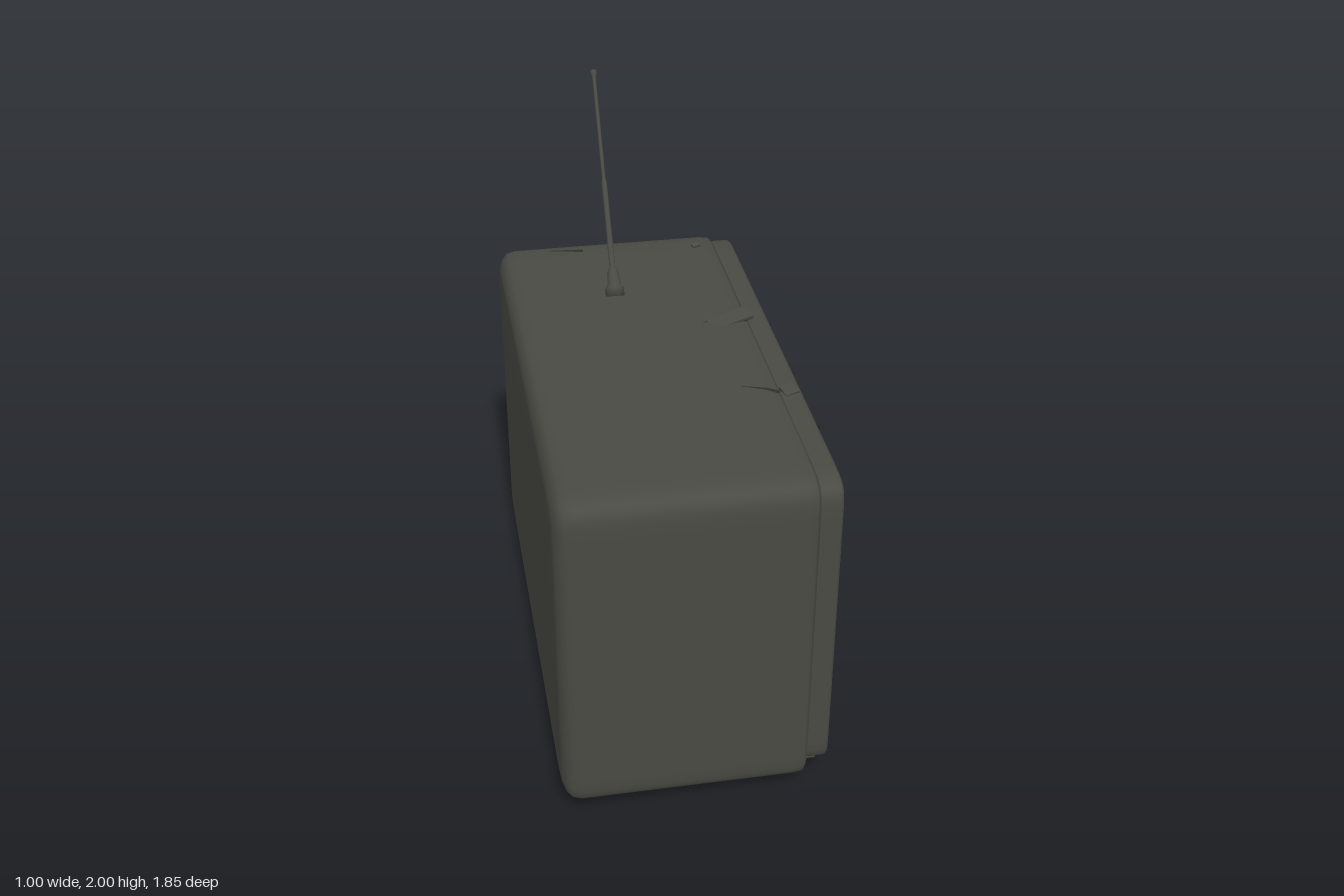
import * as THREE from 'three';

const casing = new THREE.MeshStandardMaterial({ color: 0x4a4a44 });
casing.name = 'dark olive grey';
const crackMat = new THREE.MeshStandardMaterial({ color: 0x30302c, side: THREE.DoubleSide });
crackMat.name = 'crack shadow';

// Superellipse outline: [u, y] pairs, where u runs towards -z
function outline(cz, cy, hw, hh, e, n = 80) {
  const f = (v) => (Math.abs(v) < 1e-9 ? 0 : Math.sign(v) * Math.abs(v) ** (2 / e));
  return Array.from({ length: n }, (_, i) => {
    const t = (i / n) * Math.PI * 2;
    return [-cz + hw * f(Math.cos(t)), cy + hh * f(Math.sin(t))];
  });
}

// Skin a list of rings; xOf gives each ring point its depth
function loft(rings) {
  const pos = [], idx = [], n = rings[0].pts.length;
  for (const { pts, x } of rings)
    for (const [u, y] of pts) pos.push(typeof x === 'function' ? x(-u, y) : x, y, -u);
  for (let i = 0; i < rings.length - 1; i++)
    for (let j = 0; j < n; j++) {
      const k = (j + 1) % n, a = i * n + j, b = i * n + k, c = b + n, d = a + n;
      idx.push(a, b, c, a, c, d);
    }
  const g = new THREE.BufferGeometry();
  g.setAttribute('position', new THREE.Float32BufferAttribute(pos, 3));
  g.setIndex(idx);
  g.computeVertexNormals();
  return g;
}

// Bulging picture tube surface
const SZ = 0.19, SY = 0.7, SW = 0.61, SH = 0.475;
const domeX = (z, y) =>
  Math.max(0.362, 0.457 - 0.06 * (((z - SZ) / SW) ** 2 + ((y - SY) / SH) ** 2));

// Jagged tapering crack laid on a surface
function crackGeometry(path, place, width) {
  const pos = [], idx = [];
  path.forEach(([a, b], i) => {
    const p = path[Math.max(0, i - 1)], q = path[Math.min(path.length - 1, i + 1)];
    const dx = q[0] - p[0], dy = q[1] - p[1], l = Math.hypot(dx, dy);
    const w = width * (1 - (0.85 * i) / (path.length - 1)) / 2;
    for (const s of [1, -1]) pos.push(...place(a - (s * w * dy) / l, b + (s * w * dx) / l));
    if (i) idx.push(2 * i - 2, 2 * i - 1, 2 * i, 2 * i - 1, 2 * i + 1, 2 * i);
  });
  const g = new THREE.BufferGeometry();
  g.setAttribute('position', new THREE.Float32BufferAttribute(pos, 3));
  g.setIndex(idx);
  g.computeVertexNormals();
  return g;
}

export function createModel() {
  const root = new THREE.Group();
  root.name = 'television';
  const add = (name, geo, x = 0, y = 0, z = 0, mat = casing) => {
    const m = new THREE.Mesh(geo, mat);
    m.name = name;
    m.position.set(x, y, z);
    root.add(m);
    return m;
  };
  const box = (name, w, h, d, x, y, z) => add(name, new THREE.BoxGeometry(w, h, d), x, y, z);

  // Cabinet with rounded back edges and slightly bowed sides
  const profile = [[-0.495, 0.9], [-0.495, 0.45], [-0.495, 0.07], [-0.491, 0.045], [-0.478, 0.02],
    [-0.46, 0.006], [-0.43, 0], [0.3, 0], [0.335, 0.003], [0.348, 0.015], [0.35, 0.04], [0.35, 0.9]];
  add('cabinet', loft(profile.map(([x, d]) => ({
    x, pts: outline(0, 0.685, Math.max(0.001, 0.925 - d), Math.max(0.001, 0.615 - d), 22),
  }))));

  // Front bezel with openings for the screen and the tuner
  const v2 = (pts) => pts.map(([u, y]) => new THREE.Vector2(u, y));
  const face = new THREE.Shape(v2(outline(0, 0.705, 0.91, 0.58, 22)));
  face.holes.push(new THREE.Path(v2(outline(0.19, 0.695, 0.65, 0.51, 10))));
  face.holes.push(new THREE.Path(v2(outline(-0.69, 1.005, 0.125, 0.17, 20, 40))));
  const bezel = new THREE.ExtrudeGeometry(face, {
    depth: 0.06, bevelThickness: 0.018, bevelSize: 0.018, bevelOffset: -0.018, bevelSegments: 3,
  });
  bezel.rotateY(Math.PI / 2);
  add('bezel', bezel, 0.347);

  // Sloping surround and domed screen
  add('screenSurround', loft([
    { x: 0.412, pts: outline(0.19, 0.695, 0.655, 0.515, 10) },
    { x: 0.392, pts: outline(0.19, 0.697, 0.635, 0.497, 7) },
    { x: (z, y) => domeX(z, y) - 0.004, pts: outline(SZ, SY, SW, SH, 5) },
  ]));
  add('screen', loft([1, 0.96, 0.88, 0.75, 0.6, 0.45, 0.3, 0.15, 0.001].map((s) => ({
    x: domeX, pts: outline(SZ, SY, SW * s, SH * s, 5),
  }))));

  // Tuner panel with dial, pointer and ledge
  box('tunerPanel', 0.04, 0.36, 0.27, 0.378, 1.005, -0.69);
  const knob = (name, r0, r1, len, x, y, z) => {
    const g = new THREE.CylinderGeometry(r1, r0, len, 28);
    g.rotateZ(-Math.PI / 2);
    return add(name, g, x + len / 2, y, z);
  };
  knob('tunerDial', 0.1, 0.085, 0.035, 0.395, 1.06, -0.69);
  knob('dialHub', 0.04, 0.025, 0.022, 0.428, 1.06, -0.69);
  box('dialPointer', 0.02, 0.05, 0.015, 0.442, 1.065, -0.69).rotation.x = 0.4;
  box('tunerLedge', 0.035, 0.065, 0.24, 0.405, 0.87, -0.69);

  // Control knobs
  knob('brokenKnob', 0.028, 0.02, 0.02, 0.42, 0.76, -0.7);
  knob('volumeShaft', 0.02, 0.018, 0.05, 0.42, 0.235, -0.66);
  knob('volumeKnob', 0.028, 0.024, 0.04, 0.46, 0.235, -0.665).rotation.y = 0.2;

  // Speaker grille slats
  for (let i = 0; i < 15; i++) {
    const y = 0.24 + i * 0.035;
    if (i === 0) box('grilleSlat', 0.02, 0.018, 0.13, 0.424, y, -0.8);
    else box('grilleSlat', 0.02, 0.018, 0.355, 0.424, y, -0.68);
  }

  // Lower front rail under the bezel
  box('lowerRail', 0.05, 0.03, 1.7, 0.37, 0.118, 0);

  // Tapered feet
  for (const x of [-0.31, 0.24])
    for (const z of [-0.715, 0.72]) {
      const foot = add('foot', new THREE.CylinderGeometry(0.1, 0.08, 0.1, 24), x, 0.05, z);
      foot.scale.x = 1.15;
    }

  // Round swivel base underneath
  const base = [[0, 0], [0.19, 0], [0.205, 0.008], [0.23, 0.05], [0.25, 0.062], [0.27, 0.09]];
  add('swivelBase', new THREE.LatheGeometry(base.map(([r, y]) => new THREE.Vector2(r, y)), 40), -0.02, 0, 0.03);

  // Leaning aerial: socket, rod and tip along one axis
  const aerial = new THREE.Group();
  aerial.name = 'aerial';
  const start = new THREE.Vector3(-0.1, 1.295, -0.43), end = new THREE.Vector3(-0.1, 1.995, -0.915);
  const length = start.distanceTo(end);
  const rod = [[0, 0], [0.035, 0], [0.035, 0.03], [0.026, 0.04], [0.018, 0.1], [0.011, 0.11],
    [0.01, length * 0.5], [0.007, length * 0.52], [0.007, length - 0.025], [0.012, length - 0.02],
    [0.012, length - 0.003], [0, length]];
  const rodMesh = new THREE.Mesh(
    new THREE.LatheGeometry(rod.map(([r, y]) => new THREE.Vector2(r, y)), 14), casing);
  rodMesh.name = 'aerialRod';
  aerial.add(rodMesh);
  aerial.position.copy(start);
  aerial.quaternion.setFromUnitVectors(new THREE.Vector3(0, 1, 0), end.clone().sub(start).normalize());
  root.add(aerial);

  // Cracks across the glass, as [z, y] paths
  const onGlass = (z, y) => [domeX(z, y) + 0.003, y, z];
  [
    [[0.76, 1.1], [0.7, 1.0], [0.66, 0.97], [0.62, 0.93], [0.6, 0.88]],
    [[0.7, 1.0], [0.64, 1.05], [0.65, 1.09]],
    [[0.56, 1.15], [0.5, 1.07], [0.48, 1.0], [0.38, 0.94], [0.3, 0.84]],
    [[0.48, 1.0], [0.55, 0.96], [0.62, 0.94]],
    [[0.32, 1.15], [0.26, 1.06], [0.2, 1.1], [0.15, 1.02], [0.1, 0.96]],
    [[-0.13, 1.16], [-0.1, 1.05], [-0.07, 0.95], [-0.04, 0.86]],
    [[-0.1, 1.08], [-0.16, 1.05], [-0.2, 0.99]],
    [[0.78, 0.72], [0.72, 0.7], [0.66, 0.73], [0.6, 0.73]],
    [[0.57, 0.25], [0.57, 0.36], [0.46, 0.42], [0.39, 0.47], [0.31, 0.54]],
    [[0.57, 0.36], [0.65, 0.38], [0.7, 0.42]],
    [[0.39, 0.47], [0.37, 0.41]],
    [[-0.4, 0.65], [-0.34, 0.62], [-0.28, 0.6], [-0.23, 0.56]],
    [[0.11, 0.24], [0.06, 0.3], [0, 0.34], [-0.06, 0.3], [-0.14, 0.27], [-0.24, 0.25]],
  ].forEach((p) => add('glassCrack', crackGeometry(p, onGlass, 0.02), 0, 0, 0, crackMat));

  // Cracks in the bezel and on the cabinet top
  const onBezel = (z, y) => [0.4275, y, z];
  [
    [[0.16, 0.13], [0.13, 0.15], [0.12, 0.18]],
    [[-0.17, 1.27], [-0.15, 1.24], [-0.14, 1.21]],
    [[0.56, 1.27], [0.48, 1.24], [0.44, 1.22]],
    [[-0.89, 0.97], [-0.85, 1.0], [-0.83, 1.03]],
  ].forEach((p) => add('bezelCrack', crackGeometry(p, onBezel, 0.022), 0, 0, 0, crackMat));
  const onTop = (x, z) => [x, 1.303, z];
  [
    [[0.34, -0.15], [0.29, -0.19], [0.25, -0.2], [0.18, -0.16]],
    [[0.34, 0.36], [0.3, 0.33], [0.22, 0.3]],
    [[-0.17, -0.81], [-0.23, -0.82], [-0.3, -0.83]],
  ].forEach((p) => add('topCrack', crackGeometry(p, onTop, 0.022), 0, 0, 0, crackMat));

  // Lifted splinters along the broken top edge
  [[0.28, -0.17, 0.16, 0.06], [0.38, 0.33, 0.05, 0.05], [0.27, -0.78, 0.03, 0.02]].forEach(([x, z, w, d]) => {
    const s = box('splinter', w, 0.016, d, x, x > 0.35 ? 1.288 : 1.302, z);
    s.rotation.set(0.2, 0.3, 0.08);
  });

  return root;
}
